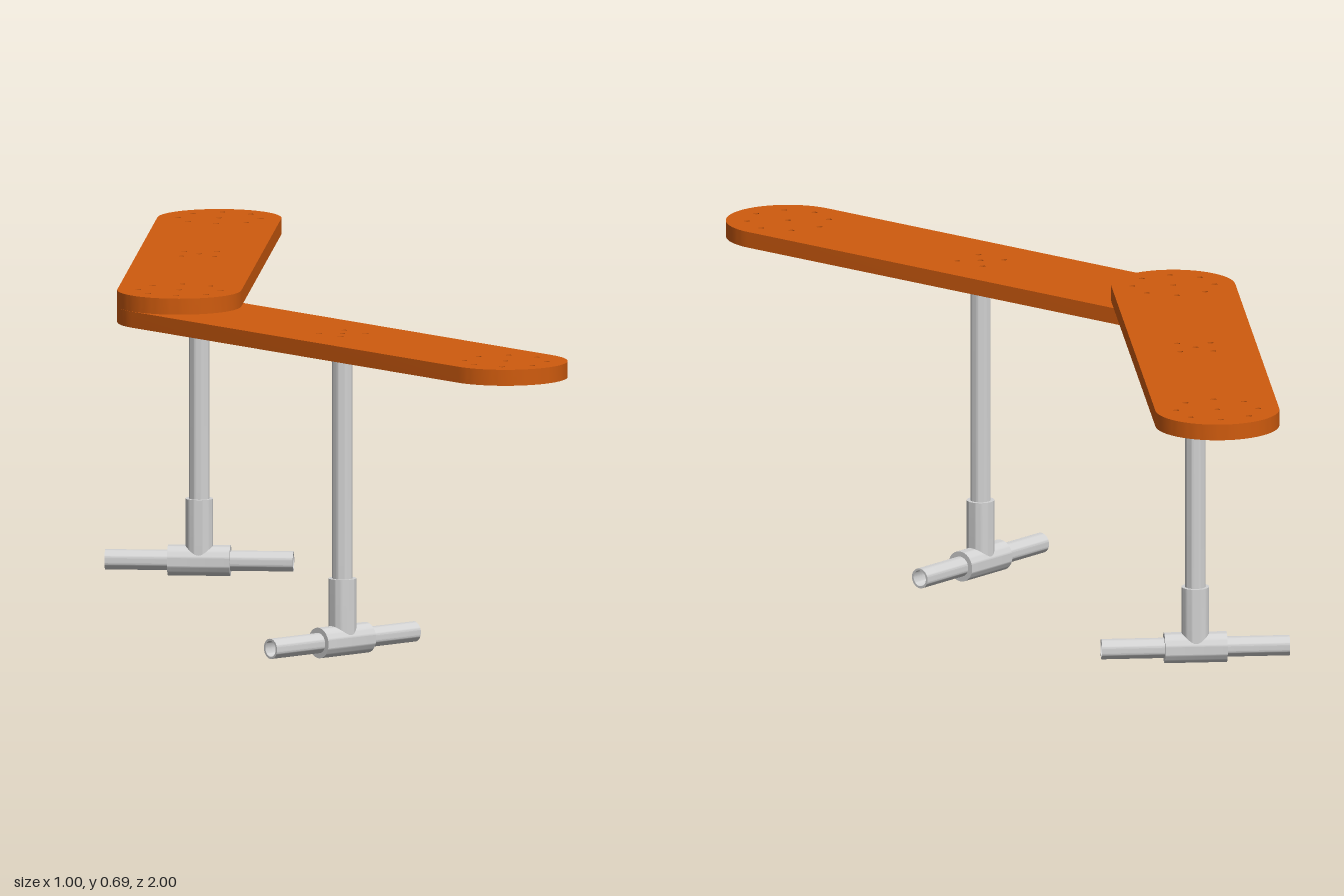
import * as THREE from 'three';
import { toCreasedNormals } from 'three/addons/utils/BufferGeometryUtils.js';

const THICK = 0.0325, RADIUS = 0.125, SPAN = 1.013;

const orange = new THREE.MeshStandardMaterial({ color: 0xcf5b0e });
orange.name = 'orange board';
const grey = new THREE.MeshStandardMaterial({ color: 0xd2d2d2 });
grey.name = 'grey pipe';

function extrude(shape, depth, curveSegments) {
  const geo = new THREE.ExtrudeGeometry(shape, { depth, bevelEnabled: false, curveSegments });
  return toCreasedNormals(geo, 0.6);
}

function named(geo, material, name) {
  const mesh = new THREE.Mesh(geo, material);
  mesh.name = name;
  return mesh;
}

// Round-ended plank along x, with bolt holes at both ends and in the middle
function boardGeometry() {
  const h = SPAN / 2;
  const shape = new THREE.Shape();
  shape.moveTo(-h, -RADIUS);
  shape.lineTo(h, -RADIUS);
  shape.absarc(h, 0, RADIUS, -Math.PI / 2, Math.PI / 2, false);
  shape.lineTo(-h, RADIUS);
  shape.absarc(-h, 0, RADIUS, Math.PI / 2, Math.PI * 1.5, false);

  const hole = (x, y) => {
    const path = new THREE.Path();
    path.absarc(x, y, 0.006, 0, Math.PI * 2, true);
    shape.holes.push(path);
  };
  const ring = (cx, count, r, start) => {
    hole(cx, 0);
    for (let i = 0; i < count; i++) {
      const a = start + (i / count) * Math.PI * 2;
      hole(cx + r * Math.cos(a), r * Math.sin(a));
    }
  };
  ring(-h, 8, 0.083, 0);
  ring(h, 8, 0.083, 0);
  ring(0, 4, 0.047, Math.PI / 4);
  return extrude(shape, THICK, 24).rotateX(-Math.PI / 2);
}

// Hollow pipe along z, starting at z = 0
function pipeGeometry(outer, inner, length) {
  const shape = new THREE.Shape();
  shape.absarc(0, 0, outer, 0, Math.PI * 2, false);
  const bore = new THREE.Path();
  bore.absarc(0, 0, inner, 0, Math.PI * 2, true);
  shape.holes.push(bore);
  return extrude(shape, length, 24);
}

// Board with its pole and T-shaped foot; the foot lies across the board
function table(name, start, end, boardY, footY) {
  const group = new THREE.Group();
  group.name = name;
  const [x0, z0] = start, [x1, z1] = end;
  group.position.set((x0 + x1) / 2, 0, (z0 + z1) / 2);
  group.rotation.y = Math.atan2(-(z1 - z0), x1 - x0);

  const board = named(boardGeometry(), orange, 'board');
  board.position.y = boardY;

  const upright = (outer, inner, from, to, label) => {
    const mesh = named(pipeGeometry(outer, inner, to - from).rotateX(-Math.PI / 2), grey, label);
    mesh.position.y = from;
    group.add(mesh);
  };
  upright(0.0205, 0.016, footY + 0.04, boardY, 'pole');
  upright(0.028, 0.0205, footY + 0.012, footY + 0.126, 'poleSocket');

  const across = (outer, inner, from, to, label) => {
    const mesh = named(pipeGeometry(outer, inner, to - from), grey, label);
    mesh.position.set(0, footY, from);
    group.add(mesh);
  };
  across(0.031, 0.0205, -0.063, 0.063, 'footSocket');
  for (const side of [-1, 1]) {
    across(0.0205, 0.016, side < 0 ? -0.19 : 0.025, side < 0 ? -0.025 : 0.19, 'footPipe');
  }

  group.add(board);
  return group;
}

export function createModel() {
  const model = new THREE.Group();
  model.name = 'foldingBench';
  const joint = [-0.325, -0.138];
  model.add(table('lowerSection', joint, [-0.3, 0.875], 0.622, 0.031));
  model.add(table('upperSection', joint, [0.375, -0.875], 0.6545, 0.064));
  return model;
}
